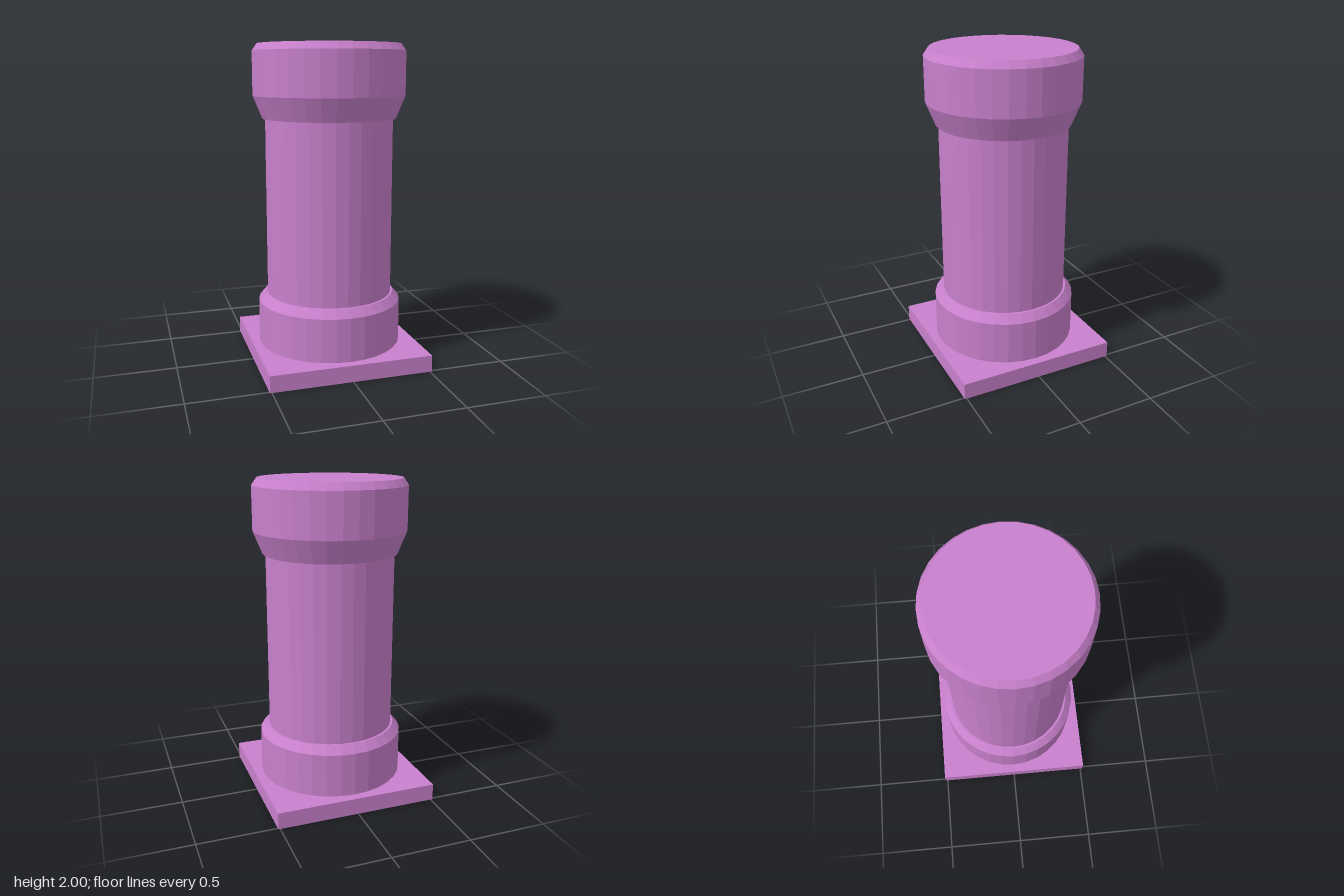
import * as THREE from 'three';

const SIDES = 32;

export function createModel() {
  const column = new THREE.Group();
  column.name = 'column';
  const material = new THREE.MeshStandardMaterial({ color: 0xc880cc, flatShading: true });

  const add = (name, geometry) => {
    const mesh = new THREE.Mesh(geometry, material);
    mesh.name = name;
    column.add(mesh);
    return mesh;
  };

  // Closed faceted solid from [radius, height] pairs, bottom to top
  const turned = (profile) => {
    const bottom = profile[0][1];
    const top = profile[profile.length - 1][1];
    const points = [[0, bottom], ...profile, [0, top]].map(([r, y]) => new THREE.Vector2(r, y));
    return new THREE.LatheGeometry(points, SIDES);
  };

  // Square slab on the ground
  add('plinth', new THREE.BoxGeometry(1.025, 0.105, 1.025)).position.y = 0.0525;

  // Round base with a chamfered upper rim
  add('baseCollar', turned([[0.458, 0.105], [0.458, 0.38], [0.415, 0.43]]));

  // Straight shaft between base and capital
  add('shaft', turned([[0.4, 0.43], [0.4, 1.545]]));

  // Capital: flares out, rises straight, then a small chamfer to the flat top
  add('capital', turned([[0.418, 1.545], [0.475, 1.685], [0.475, 1.957], [0.445, 2]]));

  return column;
}
